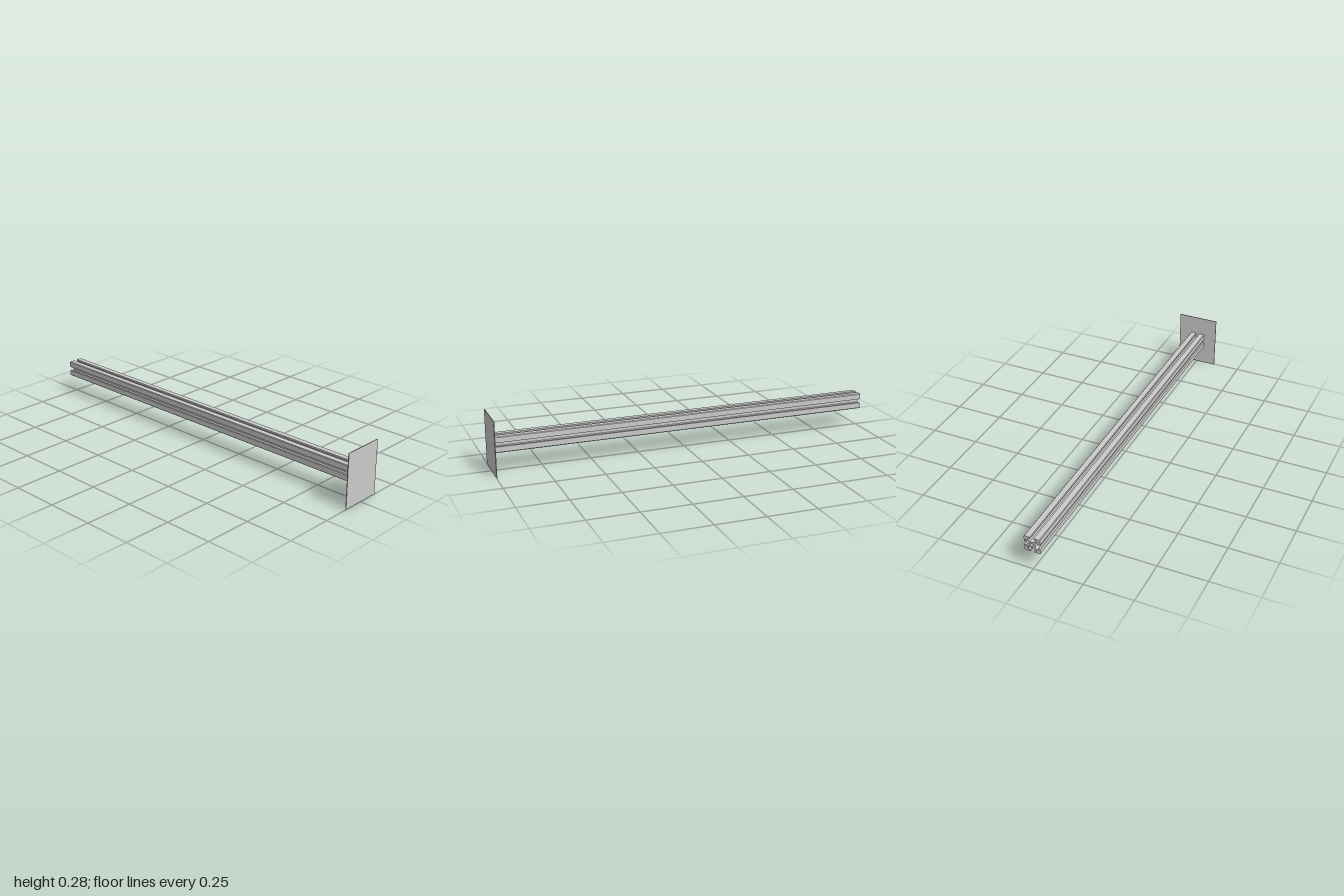
import * as THREE from 'three';

const HALF = 0.0405;      // half width of the square rail
const CENTRE_Y = 0.141;   // height of the rail axis
const PLATE_T = 0.004;

// Square T-slot section: one side, repeated four times by quarter turns
function railSection() {
  const lower = [
    [HALF, -HALF + 0.003], [HALF, -0.0102], [0.031, -0.0102],
    [0.031, -0.021], [0.026, -0.021], [0.016, -0.011],
  ];
  const side = [...lower, ...lower.map(([x, y]) => [x, -y]).reverse()];
  const points = [];
  for (let i = 0; i < 4; i++) {
    for (const [x, y] of side) {
      points.push(new THREE.Vector2(x, y).rotateAround(new THREE.Vector2(), i * Math.PI / 2));
    }
  }
  const shape = new THREE.Shape(points);
  // Central bore
  const bore = new THREE.Path();
  bore.absarc(0, 0, 0.007, 0, Math.PI * 2, true);
  shape.holes.push(bore);
  return shape;
}

export function createModel() {
  const group = new THREE.Group();
  const material = new THREE.MeshStandardMaterial({ color: 0xcccccc });

  // Slotted rail running from the back to the plate
  const rail = new THREE.Mesh(
    new THREE.ExtrudeGeometry(railSection(), {
      depth: 2 - PLATE_T, bevelEnabled: false, curveSegments: 12,
    }), material);
  rail.name = 'slottedRail';
  rail.position.set(0, CENTRE_Y, -1);
  group.add(rail);

  // Thin rectangular end plate at the front
  const plate = new THREE.Mesh(new THREE.BoxGeometry(0.217, CENTRE_Y * 2, PLATE_T), material);
  plate.name = 'endPlate';
  plate.position.set(0, CENTRE_Y, 1 - PLATE_T / 2);
  group.add(plate);

  return group;
}
